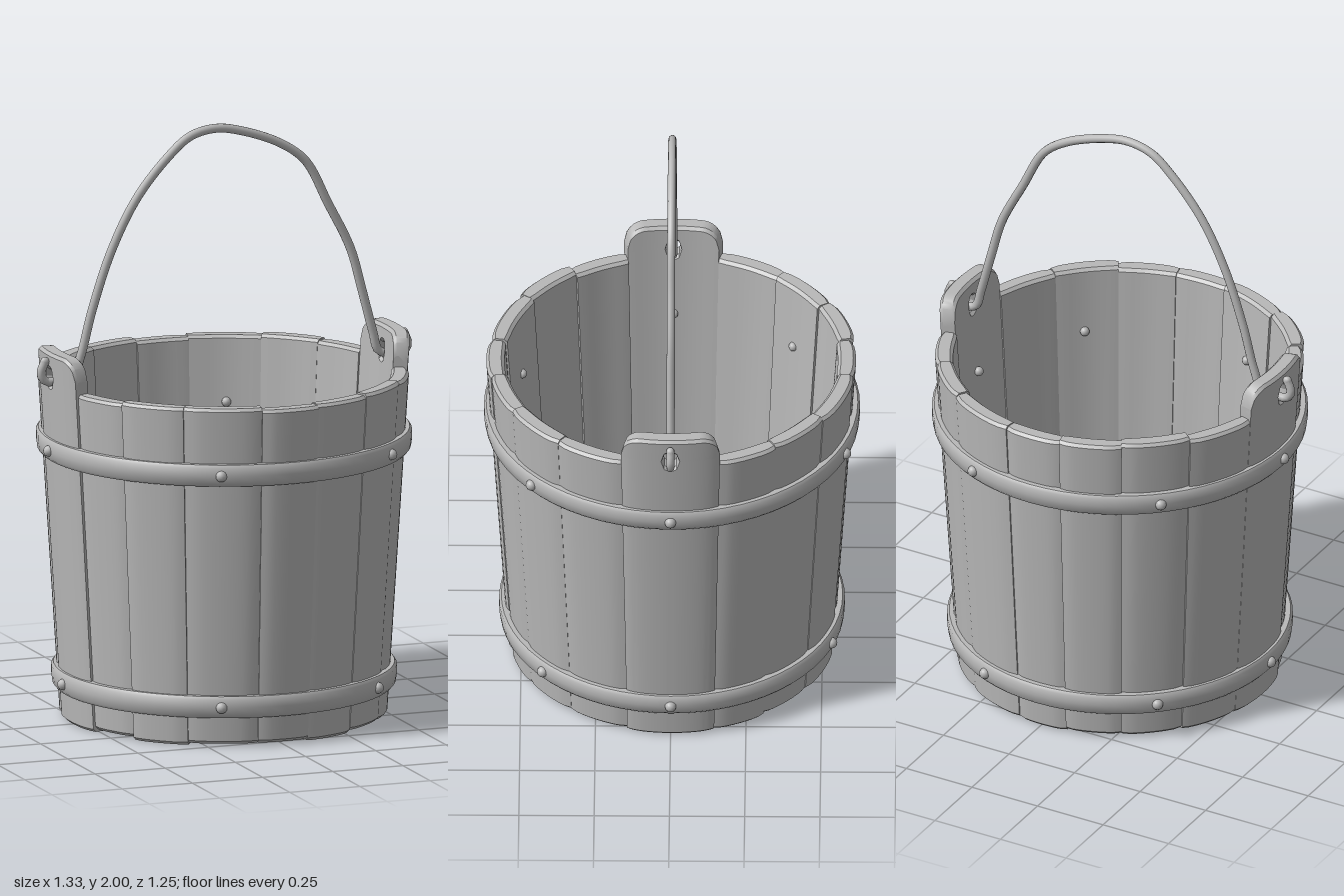
import * as THREE from 'three';
import { toCreasedNormals } from 'three/addons/utils/BufferGeometryUtils.js';

const DEG = Math.PI / 180;
const WALL = 0.06;
const outerRadius = (y) => 0.542 + 0.063 * y;

// A curved board between two angles; bottom(u), top(u) give its ends for u in -1..1
function staveGeometry(a0, a1, columns, bottom, top, offset = 0) {
  const rings = [];
  for (let i = 0; i <= columns; i++) {
    const t = i / columns, u = t * 2 - 1;
    const a = a0 + (a1 - a0) * t;
    const yb = bottom(u), yt = top(u), e = 0.01;
    const edge = 0.007 * Math.pow(Math.abs(u), 6);
    const section = [
      [-e, yb], [0, yb + e], [0, yt - e], [-e, yt],
      [e - WALL, yt], [-WALL, yt - e], [-WALL, yb + e], [e - WALL, yb],
    ];
    rings.push(section.map(([d, y]) => {
      const r = outerRadius(y) + d + offset + (d > -WALL / 2 ? -edge : edge * 0.5);
      return [r * Math.cos(a), y, r * Math.sin(a)];
    }));
  }
  const pos = [], n = 8;
  const tri = (...pts) => pts.forEach((p) => pos.push(...p));
  for (let i = 0; i < columns; i++) {
    for (let k = 0; k < n; k++) {
      const A = rings[i], B = rings[i + 1], m = (k + 1) % n;
      tri(A[k], A[m], B[k]);
      tri(B[k], A[m], B[m]);
    }
  }
  const first = rings[0], last = rings[columns];
  for (let k = 1; k < n - 1; k++) {
    tri(first[0], first[k + 1], first[k]);
    tri(last[0], last[k], last[k + 1]);
  }
  const g = new THREE.BufferGeometry();
  g.setAttribute('position', new THREE.Float32BufferAttribute(pos, 3));
  return toCreasedNormals(g, 0.6);
}

export function createModel() {
  const model = new THREE.Group();
  model.name = 'bucket';
  const grey = new THREE.MeshStandardMaterial({ color: 0xb8b8b8 });
  grey.name = 'plain grey';
  const add = (name, geometry, parent = model) => {
    const mesh = new THREE.Mesh(geometry, grey);
    mesh.name = name;
    parent.add(mesh);
    return mesh;
  };

  // Plain staves, repeated half a turn round
  const seams = [15.5, 38, 60, 80, 99, 124, 145, 164.5];
  const staves = new THREE.Group();
  staves.name = 'staves';
  model.add(staves);
  for (let half = 0; half < 2; half++) {
    for (let i = 0; i < seams.length - 1; i++) {
      const k = i + half * 7;
      const low = 0.005 + 0.005 * Math.sin(k * 2.3);
      const high = 1.158 + 0.005 * Math.sin(k * 1.7);
      add('stave', staveGeometry((seams[i] + half * 180) * DEG, (seams[i + 1] + half * 180) * DEG,
        8, () => low, () => high, 0.004 * Math.sin(k * 2.9)), staves);
    }
  }

  // Tall ear staves with rounded shoulders and a hole for the handle
  const holeY = 1.185, columns = 32, holeU = 6 / columns, holeR = 0.031;
  const hole = (u) => holeR * Math.sqrt(Math.max(0, 1 - (u / holeU) ** 2));
  const shoulder = (u) => {
    const s = Math.max(0, (Math.abs(u) - 0.6) / 0.4);
    return 1.27 - 0.065 * (1 - Math.sqrt(Math.max(0, 1 - s * s)));
  };
  for (const [name, turn] of [['leftEar', 0], ['rightEar', 180]]) {
    const ear = new THREE.Group();
    ear.name = name;
    model.add(ear);
    const a0 = (turn - 15.5) * DEG, a1 = (turn + 15.5) * DEG;
    // The bevelled ends overlap slightly away from the hole
    const overlap = (u) => (Math.abs(u) >= holeU - 1e-6 ? 0.011 : 0);
    add('earStave', staveGeometry(a0, a1, columns, () => 0,
      (u) => holeY - hole(u) + overlap(u), 0.005), ear);
    add('earTop', staveGeometry(a0, a1, columns,
      (u) => holeY + hole(u) - overlap(u), shoulder, 0.005), ear);
  }

  // Floor planks cut from a disc
  const floor = new THREE.Group();
  floor.name = 'floor';
  model.add(floor);
  const R = 0.495;
  const cuts = [-R, -0.3, -0.1, 0.1, 0.27, R];
  for (let i = 0; i < cuts.length - 1; i++) {
    const pts = [], steps = 12;
    for (const side of [-1, 1]) {
      for (let s = 0; s <= steps; s++) {
        const f = side < 0 ? s / steps : 1 - s / steps;
        // Even steps in angle along the arc
        const a = THREE.MathUtils.lerp(Math.acos(cuts[i] / R), Math.acos(cuts[i + 1] / R), f);
        pts.push(new THREE.Vector2(R * Math.cos(a), side * R * Math.sin(a)));
      }
    }
    const g = new THREE.ExtrudeGeometry(new THREE.Shape(pts), { depth: 0.04, bevelEnabled: false });
    g.rotateX(Math.PI / 2);
    g.translate(0, 0.075 + (i % 2) * 0.004, 0);
    add('floorPlank', g, floor);
  }

  // Hoops, each with six nails showing inside and out
  for (const [name, y] of [['upperHoop', 0.935], ['lowerHoop', 0.137]]) {
    const hoop = new THREE.Group();
    hoop.name = name;
    model.add(hoop);
    const profile = [[-0.01, -0.037], [0.014, -0.037], [0.022, -0.027], [0.024, 0],
      [0.022, 0.027], [0.014, 0.037], [-0.01, 0.037], [-0.01, -0.037]]
      .map(([d, h]) => new THREE.Vector2(outerRadius(y + h) + d, y + h));
    add('band', toCreasedNormals(new THREE.LatheGeometry(profile, 64), 0.7), hoop);
    for (const angle of [0, 48, 112, 180, 228, 292]) {
      for (const [part, r, size] of [['nailHead', outerRadius(y) + 0.023, 0.019],
        ['nailTip', outerRadius(y) - WALL - 0.003, 0.016]]) {
        const nail = add(part, new THREE.SphereGeometry(size, 12, 8), hoop);
        nail.position.set(r * Math.cos(angle * DEG), y, r * Math.sin(angle * DEG));
      }
    }
  }

  // Bent wire handle, hooked through both ears
  const path = [
    [-0.638, 1.24], [-0.652, 1.2], [-0.635, 1.172], [-0.59, 1.172], [-0.54, 1.18],
    [-0.51, 1.25], [-0.47, 1.4], [-0.4, 1.6], [-0.31, 1.77], [-0.2, 1.9], [-0.12, 1.965],
    [-0.03, 1.985], [0.06, 1.97], [0.2, 1.917], [0.29, 1.85], [0.37, 1.7], [0.45, 1.54],
    [0.49, 1.4], [0.53, 1.25], [0.55, 1.185], [0.595, 1.172], [0.637, 1.172], [0.654, 1.2], [0.64, 1.24],
  ].map(([x, y]) => new THREE.Vector3(x, y, 0));
  const handle = new THREE.Group();
  handle.name = 'handle';
  handle.scale.z = 0.9;
  model.add(handle);
  add('handleWire', new THREE.TubeGeometry(new THREE.CatmullRomCurve3(path), 140, 0.015, 10), handle);
  for (const end of [path[0], path[path.length - 1]]) {
    add('handleEnd', new THREE.SphereGeometry(0.0155, 10, 8), handle).position.copy(end);
  }
  return model;
}
